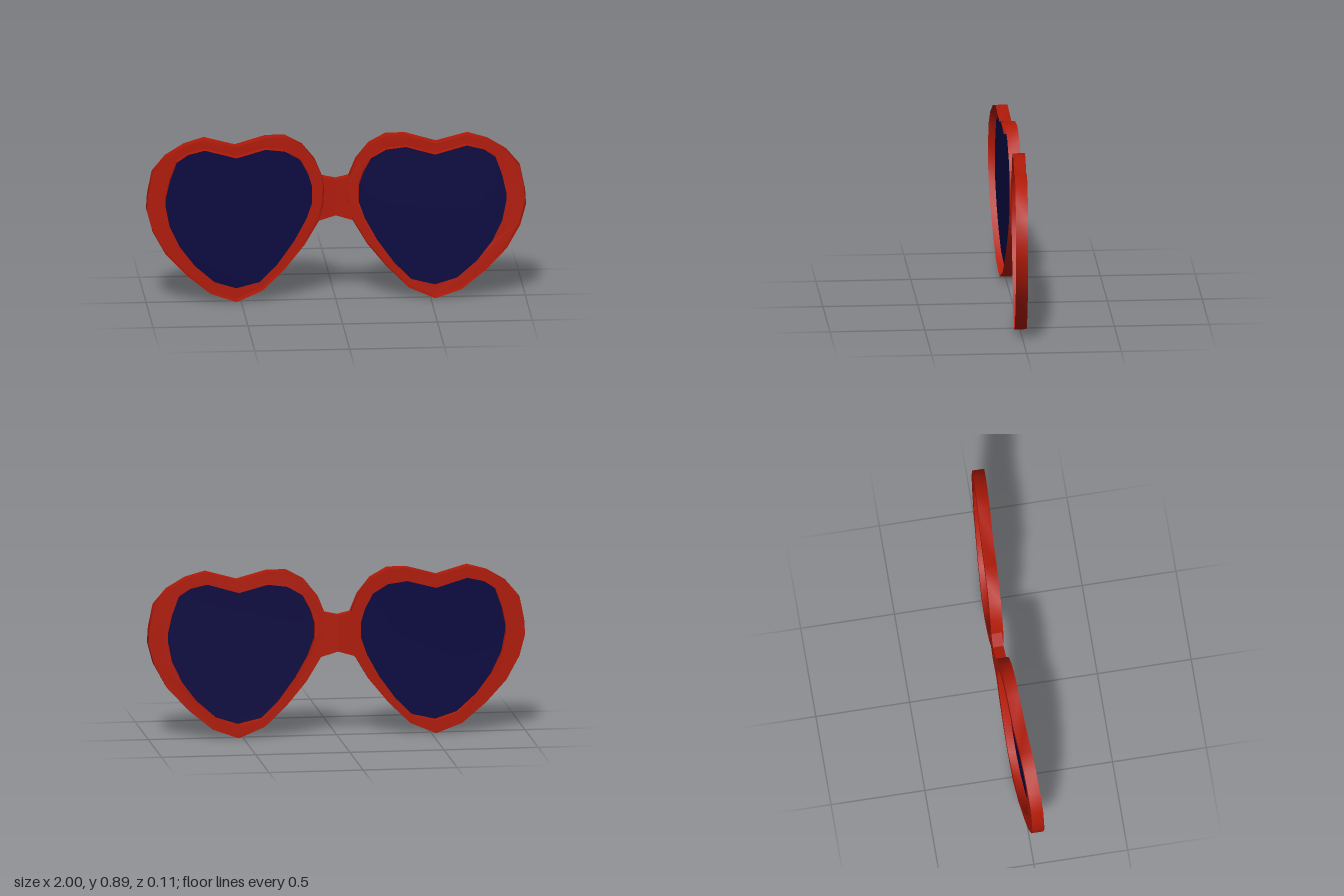
import * as THREE from 'three';
import { toCreasedNormals } from 'three/addons/utils/BufferGeometryUtils.js';

// Outlines of the half on the +x side
const RIM = [
  [0.53, 0.845], [0.695, 0.89], [0.8, 0.86], [0.9, 0.8], [0.97, 0.717], [0.995, 0.595],
  [1, 0.513], [0.97, 0.4], [0.9, 0.273], [0.79, 0.155], [0.663, 0.05], [0.524, 0],
  [0.385, 0.06], [0.267, 0.176], [0.166, 0.3], [0.09, 0.428], [0.067, 0.513], [0.062, 0.6],
  [0.07, 0.663], [0.107, 0.754], [0.176, 0.84], [0.267, 0.89], [0.37, 0.89],
];
const OPENING = [
  [0.524, 0.778], [0.69, 0.826], [0.78, 0.805], [0.84, 0.765], [0.877, 0.663], [0.898, 0.567],
  [0.898, 0.524], [0.877, 0.417], [0.824, 0.305], [0.743, 0.198], [0.64, 0.107], [0.524, 0.07],
  [0.4, 0.1], [0.31, 0.19], [0.22, 0.315], [0.155, 0.433], [0.123, 0.524], [0.123, 0.61],
  [0.144, 0.68], [0.187, 0.76], [0.267, 0.807], [0.37, 0.82],
];
const BRIDGE = [
  [0, 0.455], [0.09, 0.428], [0.067, 0.513], [0.062, 0.6], [0.07, 0.663], [0, 0.647],
];

// Heights above the curved back of the frame
const RIM_DEPTH = 0.064;
const LENS_DEPTH = 0.041;
const BRIDGE_DEPTH = 0.056;

const frameMaterial = new THREE.MeshStandardMaterial({ color: 0xb01a08, side: THREE.DoubleSide });
const lensMaterial = new THREE.MeshStandardMaterial({ color: 0x080640, side: THREE.DoubleSide });

// The back of the frame sweeps forward towards the outer ends
const backZ = (x) => -0.056 + 0.037 * Math.abs(x) + 0.011 * x * x;

function makeShape(outline, side) {
  return new THREE.Shape(outline.map(([x, y]) => new THREE.Vector2(x * side, y)));
}

// Lays a flat geometry onto the sweep and wraps it in a named mesh
function bent(name, geometry, material) {
  const p = geometry.attributes.position;
  for (let i = 0; i < p.count; i++) p.setZ(i, p.getZ(i) + backZ(p.getX(i)));
  const mesh = new THREE.Mesh(toCreasedNormals(geometry, 0.6), material);
  mesh.name = name;
  return mesh;
}

// Thin wall standing on an outline
function wall(name, outline, side, depth) {
  const positions = [];
  outline.forEach(([ax, ay], i) => {
    const [bx, by] = outline[(i + 1) % outline.length];
    const a = [ax * side, ay], b = [bx * side, by];
    positions.push(...a, 0, ...a, depth, ...b, 0, ...b, 0, ...a, depth, ...b, depth);
  });
  const geometry = new THREE.BufferGeometry();
  geometry.setAttribute('position', new THREE.Float32BufferAttribute(positions, 3));
  return bent(name, geometry, frameMaterial);
}

export function createModel() {
  const group = new THREE.Group();
  group.name = 'heartGlasses';
  for (const side of [1, -1]) {
    const label = side > 0 ? 'left' : 'right';

    // Rim: a channel open to the front, with a tall outer wall and a lower inner one
    const ring = makeShape(RIM, side);
    ring.holes.push(makeShape(OPENING, side));
    group.add(
      bent(label + 'RimBack', new THREE.ShapeGeometry(ring), frameMaterial),
      wall(label + 'RimOuterWall', RIM, side, RIM_DEPTH),
      wall(label + 'RimInnerWall', OPENING, side, LENS_DEPTH),
    );

    // Lens closing the front of the inner wall
    const lens = new THREE.ShapeGeometry(makeShape(OPENING, side));
    lens.translate(0, 0, LENS_DEPTH);
    group.add(bent(label + 'Lens', lens, lensMaterial));

    // Half of the bridge
    const bridge = new THREE.ExtrudeGeometry(makeShape(BRIDGE, side), {
      depth: BRIDGE_DEPTH, bevelEnabled: false,
    });
    group.add(bent(label + 'BridgeHalf', bridge, frameMaterial));
  }
  return group;
}
